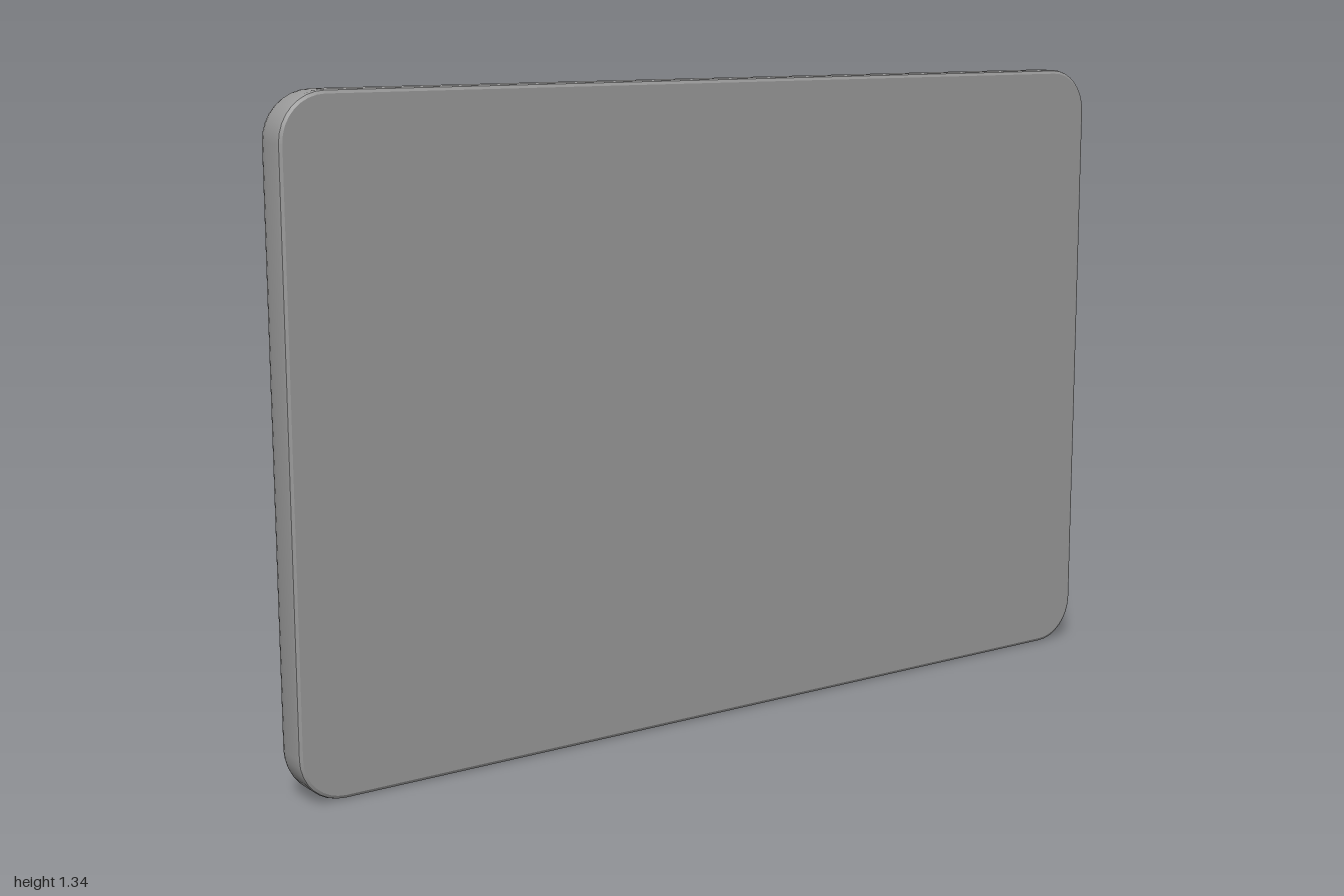
import * as THREE from 'three';
import { toCreasedNormals } from 'three/addons/utils/BufferGeometryUtils.js';

const HALF = 1, HEIGHT = 1.335, RADIUS = 0.095, STEPS = 8;
const FACE_X = 0.056, RIM_X = -0.06, FLOOR_X = 0.0, FILLET = 0.062, LIP = 0.075;
const MID = HEIGHT / 2;

// Four corners as seen from +x: signs of the sideways (-z) and upward directions
const CORNERS = [[1, 1], [-1, 1], [-1, -1], [1, -1]];
const SHARP = 3; // lower corner at -z, which keeps its full outline without a fillet

// Rounded rectangle at depth x, pulled in by inset
function roundedRing(x, inset) {
  const ring = [];
  CORNERS.forEach(([su, sv], c) => {
    const r = RADIUS - (c === SHARP && x < 0 ? 0 : inset);
    for (let i = 0; i <= STEPS; i++) {
      const a = (c + i / STEPS) * Math.PI / 2;
      const u = su * (HALF - RADIUS) + r * Math.cos(a);
      const v = MID + sv * (MID - RADIUS) + r * Math.sin(a);
      ring.push([x, v, -u]);
    }
  });
  return ring;
}

// Square-cornered rectangle with matching point count
function squareRing(x, inset) {
  return CORNERS.flatMap(([su, sv]) =>
    Array.from({ length: STEPS + 1 }, () => [x, MID + sv * (MID - inset), -su * (HALF - inset)]));
}

// Skin a list of rings, leaving out collapsed triangles
function loft(rings) {
  const pos = [];
  const same = (p, q) => p.every((k, i) => Math.abs(k - q[i]) < 1e-6);
  const tri = (a, b, c) => {
    if (!same(a, b) && !same(b, c) && !same(a, c)) pos.push(...a, ...b, ...c);
  };
  for (let r = 0; r < rings.length - 1; r++) {
    const A = rings[r], B = rings[r + 1];
    for (let j = 0; j < A.length; j++) {
      const k = (j + 1) % A.length;
      tri(A[j], B[j], A[k]);
      tri(A[k], B[j], B[k]);
    }
  }
  const g = new THREE.BufferGeometry();
  g.setAttribute('position', new THREE.Float32BufferAttribute(pos, 3));
  return toCreasedNormals(g, Math.PI / 5);
}

export function createModel() {
  const group = new THREE.Group();
  const grey = new THREE.MeshStandardMaterial({ color: 0x999999 });
  grey.name = 'plainGrey';
  const add = (name, geometry) => {
    const mesh = new THREE.Mesh(geometry, grey);
    mesh.name = name;
    group.add(mesh);
  };

  // Flat outer face
  const faceRing = roundedRing(FACE_X, 0.008);
  add('outerFace', loft([faceRing.map(() => [FACE_X, MID, 0]), faceRing]));

  // Shell: small front bevel, straight side, large fillet, rim and recess wall
  const shell = [faceRing, roundedRing(FACE_X - 0.003, 0.002), roundedRing(FACE_X - 0.01, 0)];
  for (let i = 0; i <= 8; i++) {
    const a = i / 8 * Math.PI / 2;
    shell.push(roundedRing(RIM_X + FILLET * (1 - Math.sin(a)), FILLET * (1 - Math.cos(a))));
  }
  shell.push(squareRing(RIM_X, LIP), squareRing(FLOOR_X, LIP));
  add('roundedShell', loft(shell));

  // Recessed panel
  const panel = new THREE.PlaneGeometry(2 * (HALF - LIP), HEIGHT - 2 * LIP);
  panel.rotateY(-Math.PI / 2).translate(FLOOR_X, MID, 0);
  add('recessedPanel', panel);

  return group;
}
